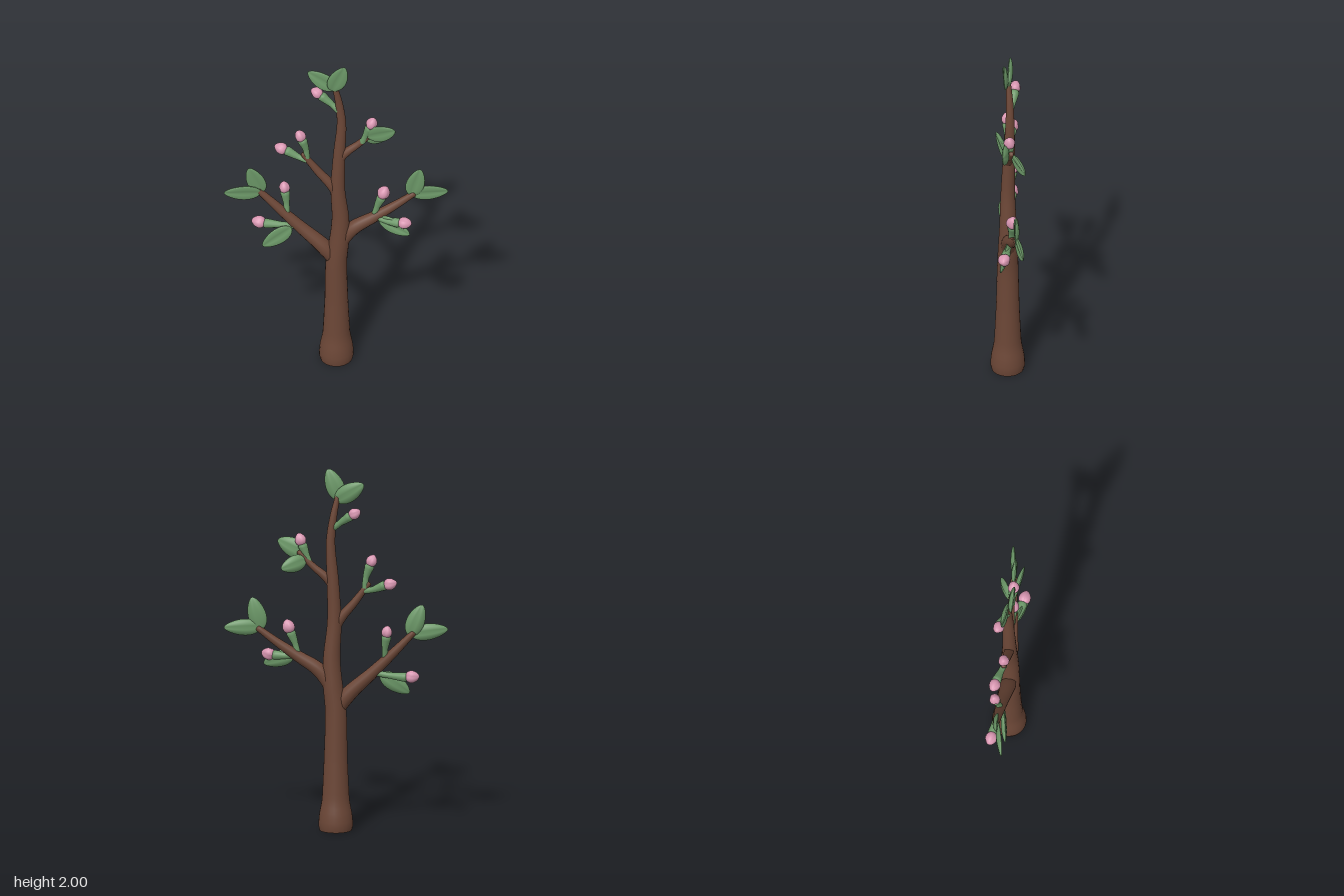
import * as THREE from 'three';

const mat = (name, color) => {
  const m = new THREE.MeshStandardMaterial({ color });
  m.name = name;
  return m;
};
const V = (a) => new THREE.Vector3(a[0], a[1], a[2]);

// Smooth limb through points [x, y, z, radius], rounded off at its far end
function limbGeometry(points, rings, sides) {
  const curve = new THREE.CatmullRomCurve3(points.map(V));
  const frames = curve.computeFrenetFrames(rings, false);
  const pos = [], index = [];
  const radiusAt = (u) => {
    const s = curve.getUtoTmapping(u) * (points.length - 1);
    const i = Math.min(Math.floor(s), points.length - 2);
    return THREE.MathUtils.lerp(points[i][3], points[i + 1][3], s - i);
  };
  const addRing = (p, k, r) => {
    for (let j = 0; j < sides; j++) {
      const a = (j / sides) * Math.PI * 2;
      const q = p.clone()
        .addScaledVector(frames.normals[k], Math.cos(a) * r)
        .addScaledVector(frames.binormals[k], Math.sin(a) * r);
      pos.push(q.x, q.y, q.z);
    }
  };
  for (let k = 0; k <= rings; k++) addRing(curve.getPointAt(k / rings), k, radiusAt(k / rings));
  const end = curve.getPointAt(1), dir = frames.tangents[rings], r = radiusAt(1);
  addRing(end.clone().addScaledVector(dir, r * 0.4), rings, r * 0.8);
  const tip = end.clone().addScaledVector(dir, r * 0.7);
  pos.push(tip.x, tip.y, tip.z);
  for (let k = 0; k <= rings; k++) {
    for (let j = 0; j < sides; j++) {
      const a = k * sides + j, b = k * sides + (j + 1) % sides;
      index.push(a, b, a + sides, b, b + sides, a + sides);
    }
  }
  const last = (rings + 1) * sides, pole = last + sides;
  for (let j = 0; j < sides; j++) index.push(last + j, last + (j + 1) % sides, pole);
  const g = new THREE.BufferGeometry();
  g.setAttribute('position', new THREE.Float32BufferAttribute(pos, 3));
  g.setIndex(index);
  g.computeVertexNormals();
  return g;
}

// Unit sphere reshaped by a rule (t runs 0..1 from base to tip)
function shaped(width, height, rule) {
  const g = new THREE.SphereGeometry(1, width, height);
  const p = g.attributes.position;
  for (let i = 0; i < p.count; i++) {
    const t = (p.getY(i) + 1) / 2;
    const q = rule(p.getX(i), t, p.getZ(i));
    p.setXYZ(i, q[0], q[1], q[2]);
  }
  g.computeVertexNormals();
  return g;
}

// Plump pointed leaf of unit length along y, with a shallow midrib groove
const leafGeometry = shaped(24, 18, (x, t, z) => {
  const taper = 1 - 0.35 * t * t;
  const groove = 1 - 0.35 * Math.exp(-((x / 0.2) ** 2));
  return [x * 0.31 * taper, t, z * 0.085 * groove + 0.05 * x * x - 0.12 * t * (1 - t)];
});

// Closed bud of unit length along y, with three petal lobes
const budGeometry = shaped(30, 16, (x, t, z) => {
  const a = Math.atan2(z, x);
  const lobe = 1 - 0.14 * (1 - Math.abs(Math.cos(1.5 * a + t))) ** 2;
  const r = 0.47 * lobe * (1 - 0.3 * t * t);
  return [x * r, t, z * r];
});

export function createModel() {
  const bark = mat('bark brown', 0x6b4636);
  const green = mat('leaf green', 0x6b9767);
  const pink = mat('blossom pink', 0xd795b0);
  const tree = new THREE.Group();
  tree.name = 'buddingTree';

  const add = (name, geometry, material) => {
    const m = new THREE.Mesh(geometry, material);
    m.name = name;
    tree.add(m);
    return m;
  };
  // Set a mesh's y along dir, its z as near as possible to the facing
  const orient = (mesh, dir, facing) => {
    const x = new THREE.Vector3().crossVectors(dir, facing).normalize();
    const z = new THREE.Vector3().crossVectors(x, dir);
    mesh.quaternion.setFromRotationMatrix(new THREE.Matrix4().makeBasis(x, dir, z));
  };

  // Trunk with flared foot
  add('trunk', limbGeometry([
    [0, 0, 0, 0.088], [0, 0.03, 0, 0.095], [0, 0.09, 0, 0.09], [0, 0.17, 0, 0.075],
    [0, 0.4, 0, 0.064], [0, 0.66, 0, 0.058], [0.015, 0.8, 0, 0.054], [0.022, 0.95, 0, 0.047],
    [0.008, 1.15, 0, 0.039], [0.015, 1.38, -0.005, 0.033], [0.027, 1.6, -0.01, 0.025],
    [0.012, 1.74, -0.01, 0.02], [-0.01, 1.85, -0.005, 0.014],
  ], 70, 24), bark);
  const foot = add('trunkFoot', new THREE.CircleGeometry(0.088, 24), bark);
  foot.rotation.x = Math.PI / 2;

  // Branches
  const branches = {
    lowerRightBranch: [[0, 0.65, 0, 0.035], [-0.06, 0.745, 0, 0.044], [-0.2, 0.88, -0.015, 0.033],
      [-0.32, 1.0, -0.025, 0.025], [-0.425, 1.11, -0.03, 0.017]],
    lowerLeftBranch: [[0.02, 0.79, 0, 0.04], [0.09, 0.885, 0, 0.04], [0.21, 0.965, -0.005, 0.031],
      [0.32, 1.04, -0.012, 0.023], [0.42, 1.115, -0.018, 0.017]],
    upperRightBranch: [[0.01, 1.1, 0, 0.024], [-0.03, 1.18, 0, 0.027], [-0.1, 1.265, -0.006, 0.022],
      [-0.18, 1.375, -0.012, 0.015]],
    upperLeftBranch: [[0.01, 1.34, 0, 0.022], [0.05, 1.4, 0, 0.024], [0.12, 1.46, -0.003, 0.019],
      [0.2, 1.54, -0.005, 0.014]],
  };
  for (const name in branches) add(name, limbGeometry(branches[name], 24, 16), bark);

  // Leaves: base, tip, width factor
  const leaves = [
    [[0, 1.83, -0.005], [-0.155, 1.93, -0.025], 1],
    [[-0.025, 1.83, 0.01], [0.045, 2.0, 0.022], 1],
    [[0.165, 1.525, 0.012], [0.32, 1.595, 0.05], 1.05],
    [[0.16, 1.5, -0.01], [0.29, 1.46, -0.075], 0.9],
    [[0.405, 1.105, -0.015], [0.455, 1.285, -0.012], 0.98],
    [[0.405, 1.12, -0.012], [0.605, 1.12, -0.04], 0.9],
    [[0.23, 0.965, 0.01], [0.4, 0.9, 0.07], 0.88],
    [[-0.41, 1.1, -0.02], [-0.61, 1.125, 0.02], 0.9],
    [[-0.405, 1.095, -0.03], [-0.475, 1.265, -0.02], 0.98],
    [[-0.245, 0.875, -0.005], [-0.4, 0.765, 0.02], 0.95],
  ];
  const front = new THREE.Vector3(0, 0, 1);
  for (const [base, tip, w] of leaves) {
    const dir = V(tip).sub(V(base));
    const length = dir.length();
    const leaf = add('leaf', leafGeometry, green);
    orient(leaf, dir.normalize(), front);
    leaf.position.copy(V(base));
    leaf.scale.set(0.178 * w, length, 0.178);
  }

  // Buds on flared green stalks: stalk root, bend, bud base, bud tip
  const buds = [
    [[0.01, 1.68, -0.01], [-0.025, 1.71, -0.025], [-0.08, 1.752, -0.042], [-0.138, 1.79, -0.055]],
    [[0.14, 1.475, 0], [0.158, 1.52, 0], [0.18, 1.575, 0.003], [0.205, 1.643, 0.005]],
    [[-0.16, 1.35, -0.012], [-0.166, 1.41, -0.012], [-0.185, 1.47, -0.01], [-0.21, 1.535, -0.01]],
    [[-0.16, 1.335, -0.01], [-0.205, 1.345, -0.025], [-0.268, 1.373, -0.042], [-0.338, 1.395, -0.058]],
    [[-0.27, 0.96, -0.02], [-0.272, 1.02, -0.035], [-0.28, 1.085, -0.045], [-0.288, 1.152, -0.055]],
    [[-0.22, 0.88, -0.015], [-0.3, 0.872, -0.035], [-0.385, 0.868, -0.05], [-0.462, 0.878, -0.062]],
    [[0.205, 0.97, -0.005], [0.22, 1.03, -0.006], [0.243, 1.09, -0.007], [0.27, 1.165, -0.008]],
    [[0.215, 0.97, 0], [0.26, 0.958, 0.018], [0.335, 0.956, 0.038], [0.41, 0.965, 0.055]],
  ];
  for (const [root, bend, base, tip] of buds) {
    add('budStalk', limbGeometry([[...root, 0.017], [...bend, 0.017], [...base, 0.027]], 10, 12), green);
    const dir = V(tip).sub(V(base));
    const length = dir.length();
    const bud = add('bud', budGeometry, pink);
    orient(bud, dir.normalize(), front);
    bud.position.copy(V(base));
    bud.scale.setScalar(length);
  }
  return tree;
}
